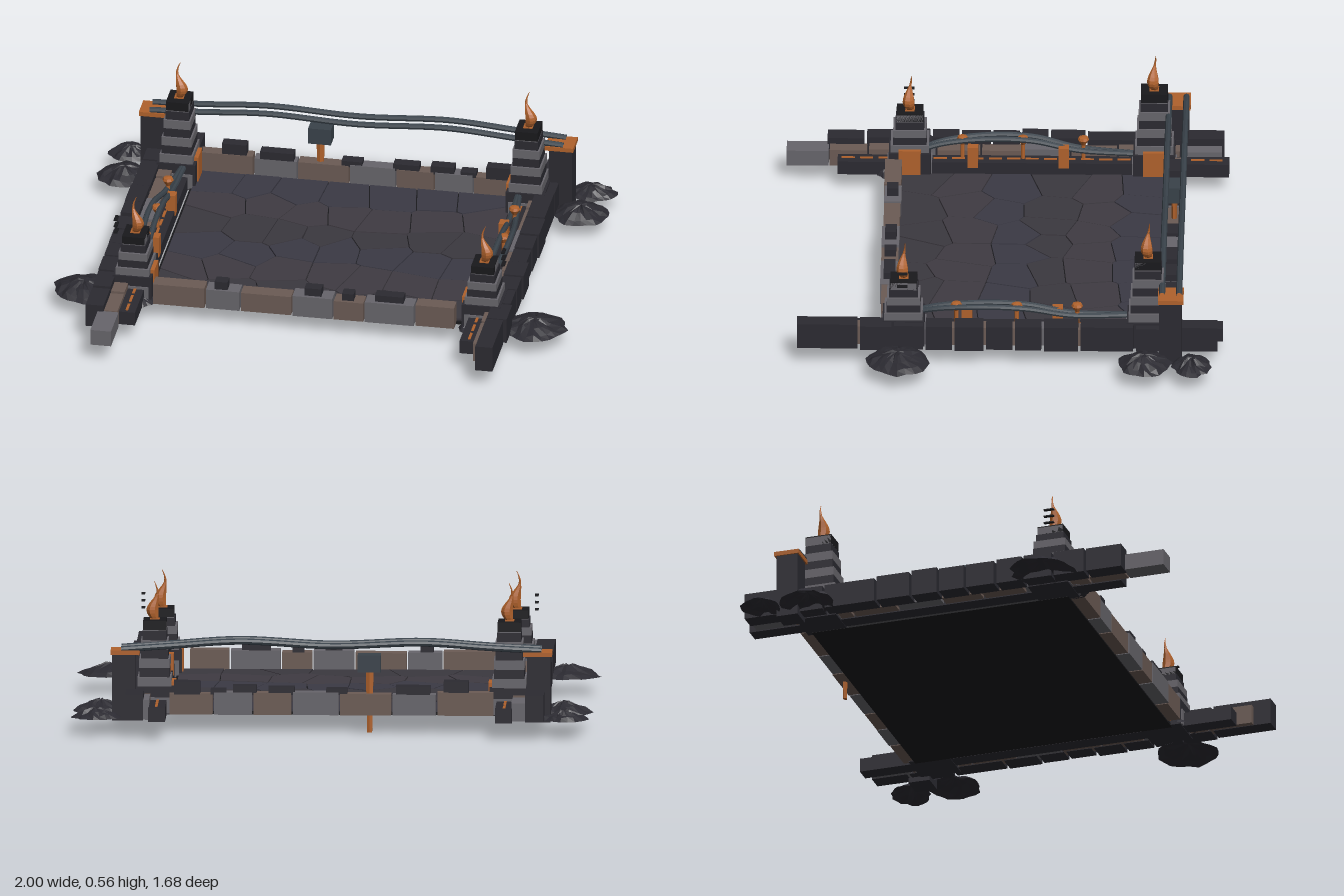
import * as THREE from 'three';

const mat = (color) => new THREE.MeshStandardMaterial({ color, flatShading: true, side: THREE.DoubleSide });
const DARK = mat(0x2b2a31), BLACK = mat(0x19191c), GREY = mat(0x67656b), BROWN = mat(0x6b5b54);
const ORANGE = mat(0xb0622c), STEEL = mat(0x39424a);
const FLOOR = [mat(0x3b383f), mat(0x3f3b42), mat(0x3a3944)];

let seed = 7;
const rnd = () => (seed = (seed * 16807) % 2147483647) / 2147483647;

function add(parent, name, geometry, material, x = 0, y = 0, z = 0) {
  const m = new THREE.Mesh(geometry, material);
  m.name = name;
  m.position.set(x, y, z);
  parent.add(m);
  return m;
}

// Box given by its limits on each axis
const block = (parent, name, material, x0, x1, y0, y1, z0, z1) =>
  add(parent, name, new THREE.BoxGeometry(Math.abs(x1 - x0), y1 - y0, Math.abs(z1 - z0)), material,
    (x0 + x1) / 2, (y0 + y1) / 2, (z0 + z1) / 2);

const tube = (parent, name, points, r, material) => add(parent, name,
  new THREE.TubeGeometry(new THREE.CatmullRomCurve3(points.map((p) => new THREE.Vector3(...p))), 40, r, 8), material);

// Keep the part of a polygon nearer to a than to b, leaving a small joint
function clip(poly, a, b, joint) {
  const n = b.clone().sub(a), len = n.length();
  n.divideScalar(len);
  const dist = (p) => p.clone().sub(a).dot(n) - len / 2 + joint;
  const out = [];
  poly.forEach((p, i) => {
    const q = poly[(i + 1) % poly.length], dp = dist(p), dq = dist(q);
    if (dp <= 0) out.push(p);
    if (dp * dq < 0) out.push(p.clone().lerp(q, dp / (dp - dq)));
  });
  return out;
}

// Cracked paving: irregular slabs around jittered grid points
function paving() {
  const g = new THREE.Group();
  g.name = 'pavedFloor';
  block(g, 'floorBase', BLACK, -0.62, 0.62, 0.063, 0.074, -0.62, 0.41);
  const sites = [];
  for (let i = 0; i < 7; i++) for (let j = 0; j < 6; j++) {
    sites.push(new THREE.Vector2(-0.6 + (i + 0.5 + (rnd() - 0.5) * 0.75) * 1.2 / 7,
      -0.4 + (j + 0.5 + (rnd() - 0.5) * 0.75) / 6));
  }
  sites.forEach((a, i) => {
    let poly = [[-0.61, -0.4], [0.61, -0.4], [0.61, 0.61], [-0.61, 0.61]].map((p) => new THREE.Vector2(...p));
    for (const b of sites) if (b !== a && poly.length) poly = clip(poly, a, b, 0.002);
    if (poly.length < 3) return;
    const geo = new THREE.ExtrudeGeometry(new THREE.Shape(poly), { depth: 0.012 + rnd() * 0.002, bevelEnabled: false });
    add(g, 'floorSlab', geo.rotateX(-Math.PI / 2), FLOOR[i % 3], 0, 0.07, 0);
  });
  return g;
}

// Low wall along x with small blocks standing on top
function crossWall(name, z0, z1, edges, caps) {
  const g = new THREE.Group();
  g.name = name;
  for (let i = 0; i < edges.length - 1; i++) {
    block(g, 'wallStone', [BROWN, GREY][i % 2], edges[i] + 0.003, edges[i + 1] - 0.003,
      0.068, 0.145 + rnd() * 0.012, z0 + rnd() * 0.006, z1 - rnd() * 0.006);
  }
  const c = (z0 + z1) / 2;
  for (const [x, w, top] of caps) block(g, 'wallCap', DARK, x - w / 2, x + w / 2, 0.145, top, c - 0.022, c + 0.022);
  return g;
}

// Long side wall: outer stones, inner stones, trim channel, arched pipes and knobs
function sideWall(s) {
  const g = new THREE.Group();
  g.name = s > 0 ? 'leftWall' : 'rightWall';
  const out = s > 0 ? 0.79 : 0.82, end = s > 0 ? 0.78 : 0.69;
  const edges = [-0.83, -0.68, -0.51, -0.3, -0.16, -0.05, 0.06, 0.18, 0.29, 0.41, 0.54, end];
  for (let i = 0; i < edges.length - 1; i++) {
    const d = rnd() * 0.012;
    block(g, 'outerStone', DARK, s * (out - 0.078), s * (out - d), 0.068, 0.16 + rnd() * 0.012,
      edges[i] + 0.005, edges[i + 1] - 0.005);
  }
  const inner = [-0.82, -0.66, -0.42, -0.24, -0.06, 0.1, 0.27, 0.42, 0.53, s > 0 ? 0.71 : 0.68];
  for (let i = 0; i < inner.length - 1; i++) {
    block(g, 'innerStone', i % 3 === 0 ? GREY : BROWN, s * 0.69, s * 0.745, 0.07, 0.135 + rnd() * 0.015,
      inner[i] + 0.004, inner[i + 1] - 0.004);
  }
  if (s < 0) block(g, 'endStone', GREY, -0.765, -0.685, 0.072, 0.135, 0.68, 0.84);
  block(g, 'trimChannel', DARK, s * 0.628, s * 0.692, 0.066, 0.12, -0.845, 0.645);
  for (let z = -0.82; z < 0.62; z += 0.07) block(g, 'trimDash', ORANGE, s * 0.657, s * 0.667, 0.115, 0.123, z, z + 0.05);

  for (const [x, bow] of [[0.65, 0.045], [0.645, 0.012]]) {
    tube(g, 'archedPipe', [[s * x, 0.155, -0.5], [s * (x + bow * 0.6), 0.165, -0.27], [s * (x + bow), 0.2, -0.1],
      [s * (x + bow), 0.207, 0.06], [s * (x + bow * 0.6), 0.19, 0.24], [s * x, 0.155, 0.36]], 0.011, STEEL);
  }
  for (const z of [-0.29, -0.06, 0.17]) {
    const profile = [[0, 0], [0.008, 0], [0.008, 0.06], [0.022, 0.082], [0.018, 0.092], [0, 0.096]];
    add(g, 'knob', new THREE.LatheGeometry(profile.map((p) => new THREE.Vector2(...p)), 8), ORANGE, s * 0.67, 0.12, z);
  }
  for (const z of [-0.215, 0.13]) block(g, 'pipeClamp', ORANGE, s * 0.625, s * 0.66, 0.1, 0.185, z - 0.02, z + 0.02);
  return g;
}

// Twisting, tapering flame
function flameGeometry(h) {
  const geo = new THREE.CylinderGeometry(1, 1, h, 7, 12).translate(0, h / 2, 0);
  const p = geo.attributes.position;
  for (let i = 0; i < p.count; i++) {
    const t = p.getY(i) / h, r = 0.012 * (1 - t) * (1 + 1.6 * Math.sin(Math.min(1, t * 1.5) * Math.PI)) + 0.001;
    p.setX(i, p.getX(i) * r + Math.sin(t * 6.5) * 0.01);
    p.setZ(i, p.getZ(i) * r + Math.sin(t * 5) * 0.005);
  }
  geo.computeVertexNormals();
  return geo;
}

// Stepped tower of alternating courses with a flame on top
function tower(s, z, top, courses) {
  const g = new THREE.Group();
  g.name = 'cornerTower';
  g.position.set(s * 0.675, 0, z);
  block(g, 'towerBase', DARK, -0.075, 0.075, 0.064, 0.17, -0.08, 0.08);
  block(g, 'basePlinth', GREY, -0.065, 0.065, 0.068, 0.13, -0.085, 0.085);
  const h = (top - 0.17) / courses;
  for (let i = 0; i < courses; i++) {
    const w = i === courses - 1 ? 0.05 : 0.073 - 0.024 * i / courses - (i % 2) * 0.004;
    block(g, 'towerCourse', i % 2 ? DARK : GREY, -w * 0.88, w * 0.88, 0.17 + i * h, 0.17 + (i + 1) * h, -w, w);
  }
  block(g, 'towerCap', BLACK, -0.044, 0.044, top - h * 0.9, top + 0.004, -0.051, 0.051);
  block(g, 'flameDish', ORANGE, -0.018, 0.018, top, top + 0.008, -0.018, 0.018);
  add(g, 'flame', flameGeometry(0.145), ORANGE, 0, top + 0.004, 0);
  block(g, 'doorPlate', ORANGE, -s * 0.06, -s * 0.08, 0.08, 0.185, -0.042, 0.042);
  return g;
}

// Jagged low heap of rubble
function rubble(x, z, rx, rz, h) {
  const n = 22, rings = [1, 0.8, 0.5, 0.2], pos = [], idx = [];
  const rim = Array.from({ length: n }, () => 0.84 + rnd() * 0.18);
  rings.forEach((f, k) => {
    for (let i = 0; i < n; i++) {
      const a = -i / n * Math.PI * 2;
      pos.push(Math.cos(a) * rx * f * rim[i], (1 - f) * h + (k ? rnd() * 0.012 : 0), Math.sin(a) * rz * f * rim[i]);
      const j = (i + 1) % n, b = k * n;
      if (k < rings.length - 1) idx.push(b + i, b + j, b + n + i, b + j, b + n + j, b + n + i);
      else idx.push(b + i, b + j, rings.length * n);
    }
  });
  pos.push(0, h, 0);
  const geo = new THREE.BufferGeometry();
  geo.setAttribute('position', new THREE.Float32BufferAttribute(pos, 3));
  geo.setIndex(idx);
  geo.computeVertexNormals();
  return add(new THREE.Group(), 'rubble', geo, DARK, x, 0.066, z);
}

export function createModel() {
  const model = new THREE.Group();
  model.name = 'walledCourtyard';
  model.add(paving());
  model.add(crossWall('frontWall', 0.395, 0.465, [-0.595, -0.39, -0.255, -0.055, 0.105, 0.225, 0.42, 0.575],
    [[-0.33, 0.05, 0.18], [0.025, 0.065, 0.185], [0.16, 0.045, 0.175], [0.32, 0.11, 0.18]]));
  model.add(crossWall('backWall', -0.67, -0.615, [-0.62, -0.4, -0.23, -0.03, 0.15, 0.3, 0.45, 0.62],
    [[-0.475, 0.095, 0.2], [-0.31, 0.13, 0.18], [-0.02, 0.08, 0.17], [0.19, 0.1, 0.175], [0.33, 0.09, 0.18],
      [0.43, 0.06, 0.165], [0.55, 0.1, 0.195]]));

  for (const s of [-1, 1]) {
    model.add(sideWall(s), tower(s, 0.37, 0.32, 5), tower(s, -0.56, 0.415, 7));

    // Rear pillars carrying the overhead pipes
    block(model, 'rearPillar', DARK, s * 0.745, s * 0.835, 0.048, 0.302, -0.69, -0.605);
    block(model, 'pillarCap', ORANGE, s * 0.73, s * 0.84, 0.3, 0.317, -0.697, -0.6);

    // Thin slivers beside the front towers
    for (let i = 0; i < 3; i++) {
      block(model, 'sliver', BLACK, s * 0.742, s * 0.756, 0.32 + i * 0.027, 0.324 + i * 0.027, 0.355, 0.395);
    }
    for (const [x, z, rx, rz, h] of [[0.87, 0.39, 0.13, 0.13, 0.04], [0.88, -0.55, 0.115, 0.11, 0.042],
      [0.89, -0.73, 0.1, 0.08, 0.035], [0.65, 0.44, 0.07, 0.06, 0.035]]) model.add(rubble(s * x, z, rx, rz, h));
  }

  // Overhead pipes between the rear pillars
  for (const z of [-0.68, -0.615]) {
    tube(model, 'overheadPipe', [[-0.8, 0.322, z], [-0.6, 0.332, z], [-0.35, 0.348, z], [0, 0.336, z],
      [0.35, 0.352, z], [0.6, 0.335, z], [0.8, 0.32, z]], 0.012, STEEL);
  }

  // Marker post with a block on top
  const post = add(model, 'markerPost', new THREE.CylinderGeometry(0.017, 0.011, 0.24, 6), ORANGE, -0.145, 0.12, -0.645);
  post.scale.z = 0.7;
  block(model, 'markerBlock', STEEL, -0.188, -0.1, 0.235, 0.3, -0.68, -0.615);
  return model;
}
